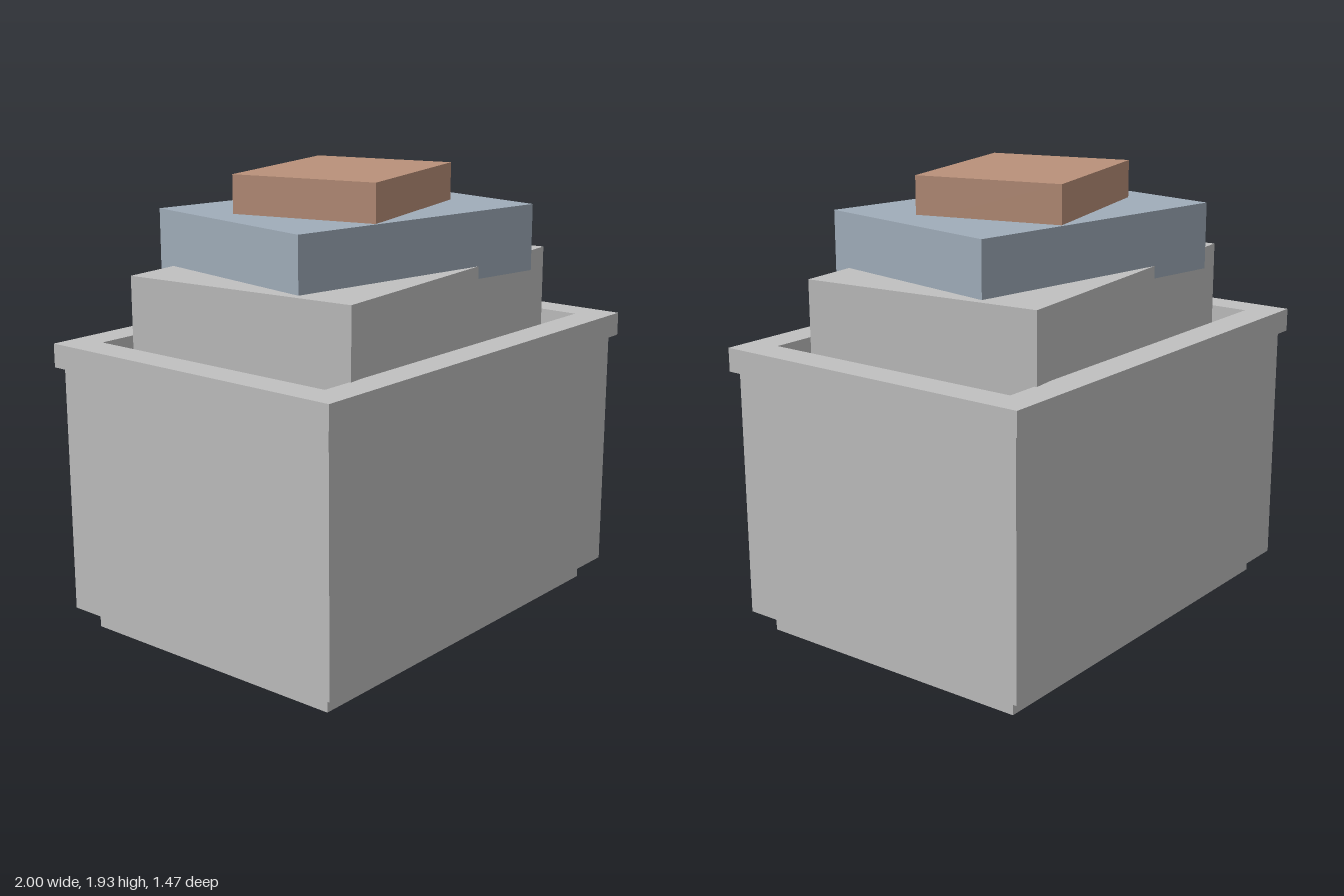
import * as THREE from 'three';

export function createModel() {
  const model = new THREE.Group();
  const grey = new THREE.MeshStandardMaterial({ name: 'pale grey', color: 0xc0c0c0 });
  const blue = new THREE.MeshStandardMaterial({ name: 'dusty blue', color: 0xa0adba });
  const copper = new THREE.MeshStandardMaterial({ name: 'copper brown', color: 0xba917a });

  // Box given by width, depth, bottom and top heights, and a turn about y
  function slab(name, material, w, d, y0, y1, turn = 0, x = 0, z = 0) {
    const mesh = new THREE.Mesh(new THREE.BoxGeometry(w, y1 - y0, d), material);
    mesh.name = name;
    mesh.position.set(x, (y0 + y1) / 2, z);
    mesh.rotation.y = turn;
    model.add(mesh);
  }

  // Plinth and body of the bin
  slab('plinth', grey, 1.8, 1.275, 0, 0.09);
  slab('body', grey, 1.94, 1.416, 0.09, 1.15);

  // Overhanging rim with a rectangular opening
  const rectangle = (Type, w, d) => new Type([
    new THREE.Vector2(-w, -d), new THREE.Vector2(w, -d),
    new THREE.Vector2(w, d), new THREE.Vector2(-w, d),
  ]);
  const frame = rectangle(THREE.Shape, 1, 0.735);
  frame.holes.push(rectangle(THREE.Path, 0.86, 0.597));
  const rimGeometry = new THREE.ExtrudeGeometry(frame, { depth: 0.1, bevelEnabled: false });
  rimGeometry.rotateX(-Math.PI / 2);
  const rim = new THREE.Mesh(rimGeometry, grey);
  rim.name = 'rim';
  rim.position.y = 1.15;
  model.add(rim);

  // Stack of turned blocks, each sunk a little into the one below
  slab('lowerBlock', grey, 1.55, 1.057, 1.14, 1.54, 0.104, -0.002, -0.002);
  slab('middleBlock', blue, 1.27, 0.917, 1.487, 1.77, -0.175, -0.002, -0.002);
  slab('topBlock', copper, 0.776, 0.634, 1.74, 1.93, 0.245, -0.019, -0.003);

  return model;
}
